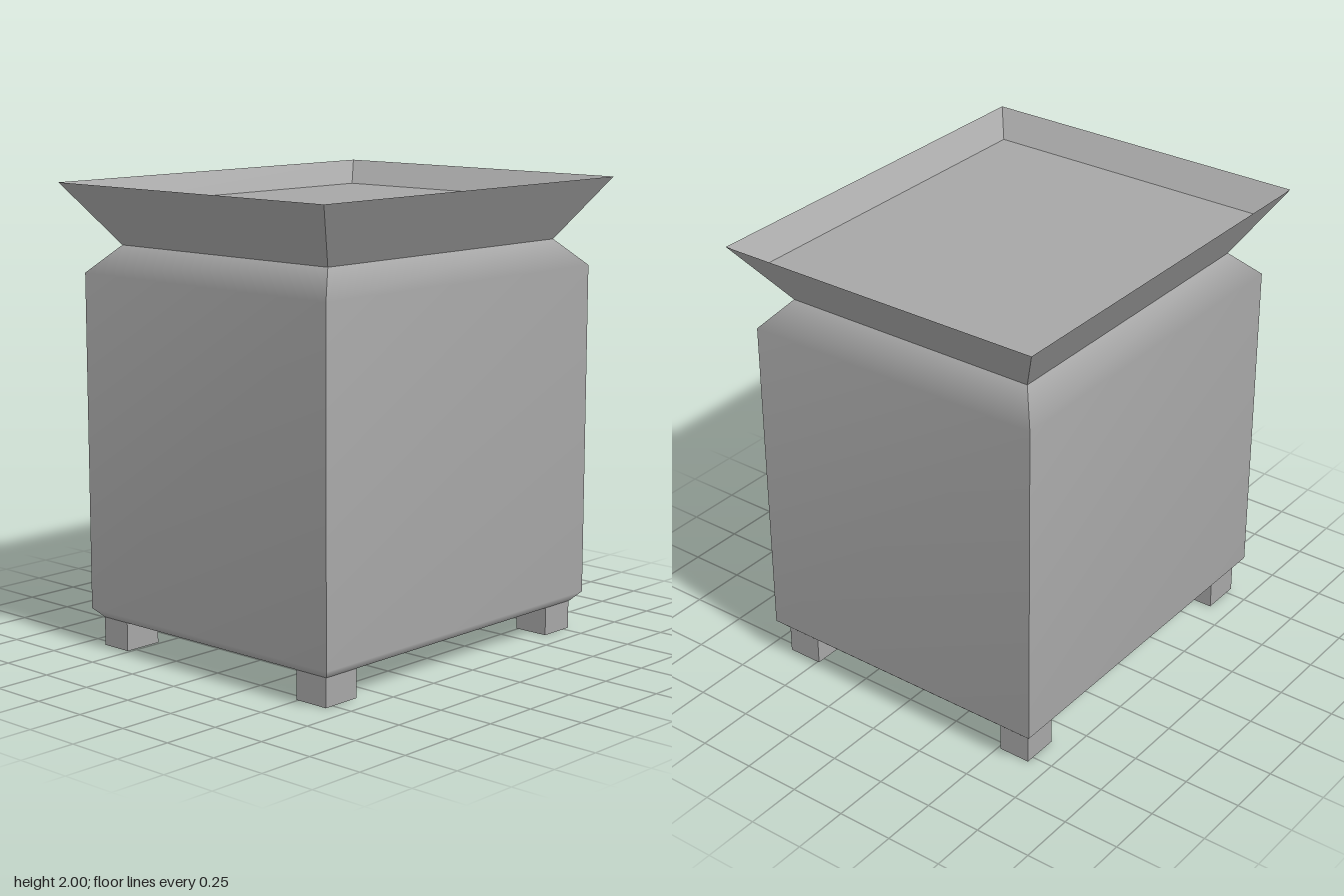
import * as THREE from 'three';

const CORNERS = [[1, 1], [1, -1], [-1, -1], [-1, 1]];

// Four walls through rectangular sections [halfX, y, halfZ].
// Each wall is smooth along its height, with sharp corners between walls.
// Sections listed upwards face outwards; listed downwards they face inwards.
function walls(sections) {
  const positions = [], indices = [];
  for (let side = 0; side < 4; side++) {
    const base = positions.length / 3;
    const a = CORNERS[side], b = CORNERS[(side + 1) % 4];
    sections.forEach(([hx, y, hz], i) => {
      positions.push(a[0] * hx, y, a[1] * hz, b[0] * hx, y, b[1] * hz);
      if (i === 0) return;
      const p = base + 2 * (i - 1);
      indices.push(p, p + 1, p + 3, p, p + 3, p + 2);
    });
  }
  const geometry = new THREE.BufferGeometry();
  geometry.setAttribute('position', new THREE.Float32BufferAttribute(positions, 3));
  geometry.setIndex(indices);
  geometry.computeVertexNormals();
  return geometry;
}

// Horizontal rectangle facing up (direction 1) or down (direction -1)
function panel([hx, y, hz], direction) {
  return new THREE.PlaneGeometry(2 * hx, 2 * hz)
    .rotateX(-direction * Math.PI / 2).translate(0, y, 0);
}

export function createModel() {
  const model = new THREE.Group();
  const grey = new THREE.MeshStandardMaterial({ color: 0xa6a6a6 });
  grey.name = 'grey';
  const add = (name, geometry) => {
    const mesh = new THREE.Mesh(geometry, grey);
    mesh.name = name;
    model.add(mesh);
  };

  const base = [0.655, 0.125, 0.79];
  const neck = [0.59, 1.735, 0.71];
  const rim = [0.757, 2, 0.91];
  const floor = [0.665, 1.9, 0.8];

  // Box body with bevelled top and bottom
  add('bodyWalls', walls([base, [0.692, 0.165, 0.83], [0.692, 1.62, 0.83], neck]));
  add('bodyUnderside', panel(base, -1));

  // Flared tray on top
  add('trayOuterWalls', walls([neck, rim]));
  add('trayInnerWalls', walls([rim, floor]));
  add('trayFloor', panel(floor, 1));

  // Four feet, spans given as [min, max]
  for (const [x0, x1] of [[-0.655, -0.512], [0.492, 0.652]]) {
    for (const [z0, z1] of [[-0.785, -0.62], [0.612, 0.79]]) {
      add('foot', new THREE.BoxGeometry(x1 - x0, 0.125, z1 - z0)
        .translate((x0 + x1) / 2, 0.0625, (z0 + z1) / 2));
    }
  }
  return model;
}
